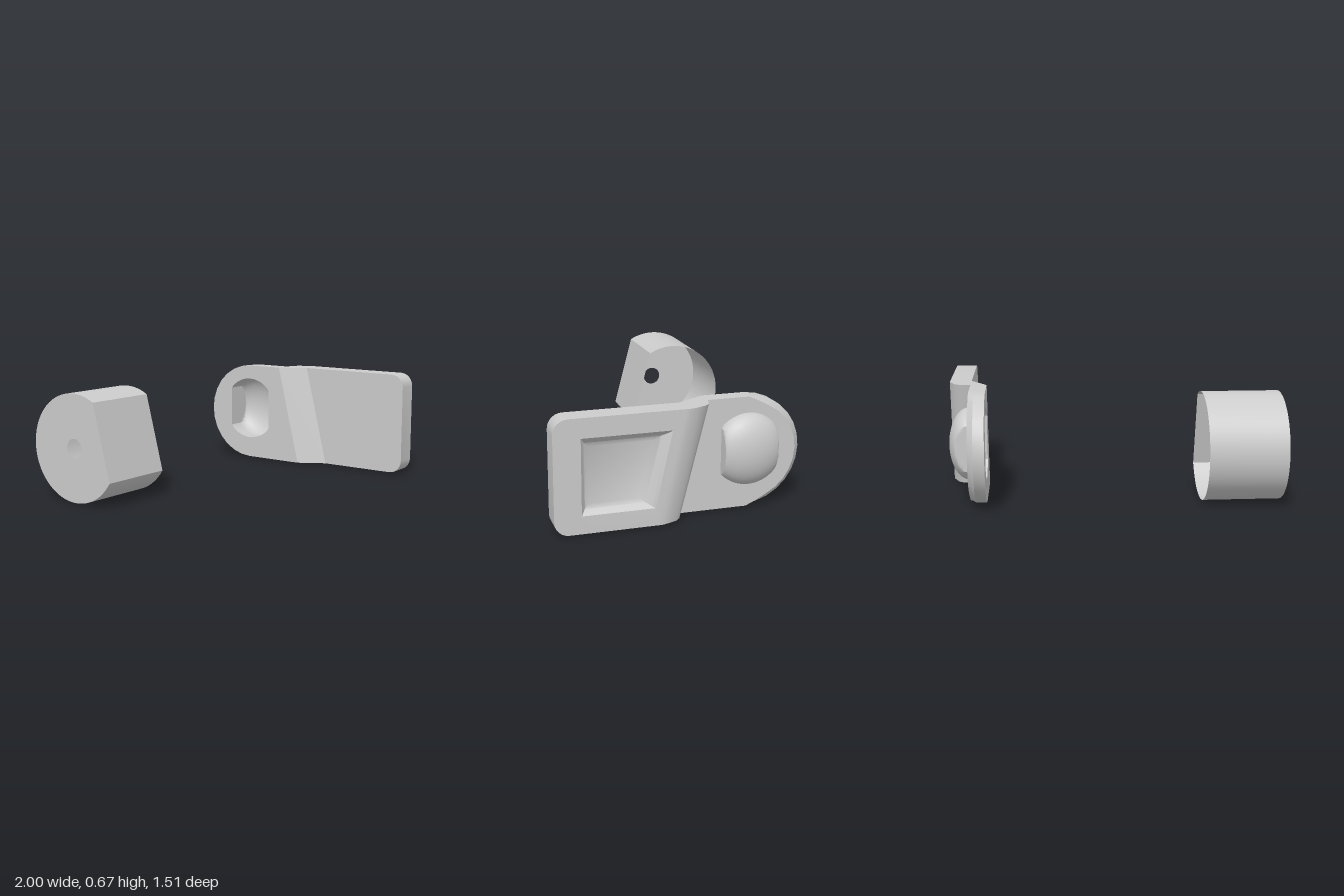
import * as THREE from 'three';
import { mergeGeometries, toCreasedNormals } from 'three/addons/utils/BufferGeometryUtils.js';

// Outlines are drawn as [u, y] with u = -z and placed at a given x.
const material = new THREE.MeshStandardMaterial({ color: 0xcccccc, side: THREE.DoubleSide });
const vectors = (pts) => pts.map(([u, y]) => new THREE.Vector2(u, y));

// Arc of points around (cu, cy), angles in units of PI
function arc(cu, cy, r, from, to, n) {
  return Array.from({ length: n + 1 }, (_, i) => {
    const a = Math.PI * (from + ((to - from) * i) / n);
    return [cu + r * Math.cos(a), cy + r * Math.sin(a)];
  });
}

// Flat face, optionally pierced
function face(outline, x, facing = 1, hole = null) {
  const shape = new THREE.Shape(vectors(outline));
  if (hole) shape.holes.push(new THREE.Path(vectors(hole)));
  const g = new THREE.ShapeGeometry(shape);
  if (facing < 0) {
    const ix = g.index.array;
    for (let i = 0; i < ix.length; i += 3) [ix[i], ix[i + 1]] = [ix[i + 1], ix[i]];
  }
  return g.rotateY(Math.PI / 2).translate(x, 0, 0);
}

// Wall joining closed outlines of equal length, each at its own x
function loft(rings) {
  const n = rings[0].outline.length;
  const pos = rings.flatMap(({ outline, x }) => outline.flatMap(([u, y]) => [x, y, -u]));
  const index = [];
  for (let r = 0; r < rings.length - 1; r++) {
    for (let i = 0; i < n; i++) {
      const a = r * n + i, b = r * n + ((i + 1) % n);
      index.push(a, b, b + n, a, b + n, a + n);
    }
  }
  const g = new THREE.BufferGeometry();
  g.setAttribute('position', new THREE.Float32BufferAttribute(pos, 3));
  g.setIndex(index);
  return g;
}

function part(name, geometries) {
  const bare = geometries.map((g) => {
    const out = g.index ? g.toNonIndexed() : g;
    ['uv', 'normal'].forEach((k) => out.deleteAttribute(k));
    return out;
  });
  const mesh = new THREE.Mesh(toCreasedNormals(mergeGeometries(bare), 0.6), material);
  mesh.name = name;
  return mesh;
}

const BOTTOM = 0.01, TOP = 0.675, SLANT = 0.165;

// Thin-walled D-section cup, closed at -x with a small central hole
function createCup() {
  const start = Math.atan2(-0.175, -0.28) / Math.PI;
  const end = Math.atan2(0.29, -0.16) / Math.PI;
  const outline = arc(0.43, 0.33, 0.33, start, end, 48);
  const hole = arc(0.43, 0.33, 0.06, 0, 2, 24).slice(0, -1);
  return part('cup', [
    loft([{ outline, x: -1 }, { outline, x: -0.53 }]),
    face(outline, -1, -1, hole),
  ]);
}

// Rectangular paddle with rounded front corners and a shallow recess
function createPaddle() {
  const outline = [
    [-SLANT, BOTTOM], [0, TOP],
    ...arc(-0.67, TOP - 0.085, 0.085, 0.5, 1, 6),
    ...arc(-0.67, BOTTOM + 0.085, 0.085, 1, 1.5, 6),
  ];
  // left, right at bottom, right at top, bottom, top, x
  const recess = [
    [-0.6, -0.18, -0.08, 0.115, 0.56, 1],
    [-0.59, -0.2, -0.1, 0.128, 0.545, 0.988],
    [-0.575, -0.23, -0.14, 0.145, 0.525, 0.968],
    [-0.55, -0.26, -0.18, 0.17, 0.5, 0.957],
  ].map(([l, rb, rt, b, t, x]) => ({ outline: [[l, b], [rb, b], [rt, t], [l, t]], x }));
  const floor = recess[recess.length - 1];
  return part('paddle', [
    loft([{ outline, x: 0.865 }, { outline, x: 1 }]),
    face(outline, 0.865, -1),
    face(outline, 1, 1, recess[0].outline),
    loft(recess),
    face(floor.outline, floor.x),
  ]);
}

// Slanted step between the paddle and the round end
function createBend() {
  const profile = [ // [x, z] at the top edge
    [0.765, -0.17], [0.865, 0], [1, 0], [1, -0.03], [0.985, -0.075],
    [0.963, -0.125], [0.935, -0.15], [0.865, -0.17],
  ];
  const shape = new THREE.Shape(profile.map(([x, z]) => new THREE.Vector2(x, -z)));
  const h = TOP - BOTTOM;
  const g = new THREE.ExtrudeGeometry(shape, { depth: h, bevelEnabled: false });
  g.rotateX(-Math.PI / 2);
  const p = g.attributes.position;
  for (let i = 0; i < p.count; i++) p.setZ(i, p.getZ(i) + SLANT * (1 - p.getY(i) / h));
  return part('bend', [g.translate(0, BOTTOM, 0)]);
}

const DOME = { u: 0.42, y: 0.365, r: 0.215, cut: 0.163 };

// Round end with a chamfered rim and a dome-shaped opening
function createRoundEnd() {
  const cy = (TOP + BOTTOM) / 2, r = (TOP - BOTTOM) / 2;
  const rim = arc(0.42, cy, r, -0.5, 0.5, 14);
  const inner = rim.map(([u, y], i) => {
    const k = 1 - (0.035 / r) * Math.min(1, i / 1.5, (14 - i) / 1.5);
    return [0.42 + (u - 0.42) * k, cy + (y - cy) * k];
  });
  const back = [[0.17, TOP], [0.17 - SLANT, BOTTOM]];
  const outer = [...rim, ...back], top = [...inner, ...back];
  const hole = arc(0, 0, DOME.r, 0, 2, 64).slice(0, -1).map(([u, y]) =>
    [DOME.u + THREE.MathUtils.clamp(u, -DOME.cut, DOME.cut), DOME.y + y]);
  return part('roundEnd', [
    loft([{ outline: outer, x: 0.765 }, { outline: outer, x: 0.83 }, { outline: top, x: 0.865 }]),
    face(outer, 0.765, -1, hole),
    face(top, 0.865, 1, hole),
    loft([{ outline: hole, x: 0.865 }, { outline: hole, x: 0.765 }]),
  ]);
}

// Hollow half-ellipsoid trimmed flat on two sides
function createDome() {
  const g = new THREE.SphereGeometry(1, 64, 24, 0, Math.PI * 2, 0, Math.PI / 2);
  g.rotateZ(-Math.PI / 2).scale(0.118, DOME.r, DOME.r);
  const p = g.attributes.position;
  for (let i = 0; i < p.count; i++) {
    p.setZ(i, THREE.MathUtils.clamp(p.getZ(i), -DOME.cut, DOME.cut));
  }
  return part('dome', [g.translate(0.865, DOME.y, -DOME.u)]);
}

export function createModel() {
  const model = new THREE.Group();
  model.name = 'cupAndLatch';
  const latch = new THREE.Group();
  latch.name = 'latchPlate';
  latch.add(createPaddle(), createBend(), createRoundEnd(), createDome());
  model.add(createCup(), latch);
  return model;
}
